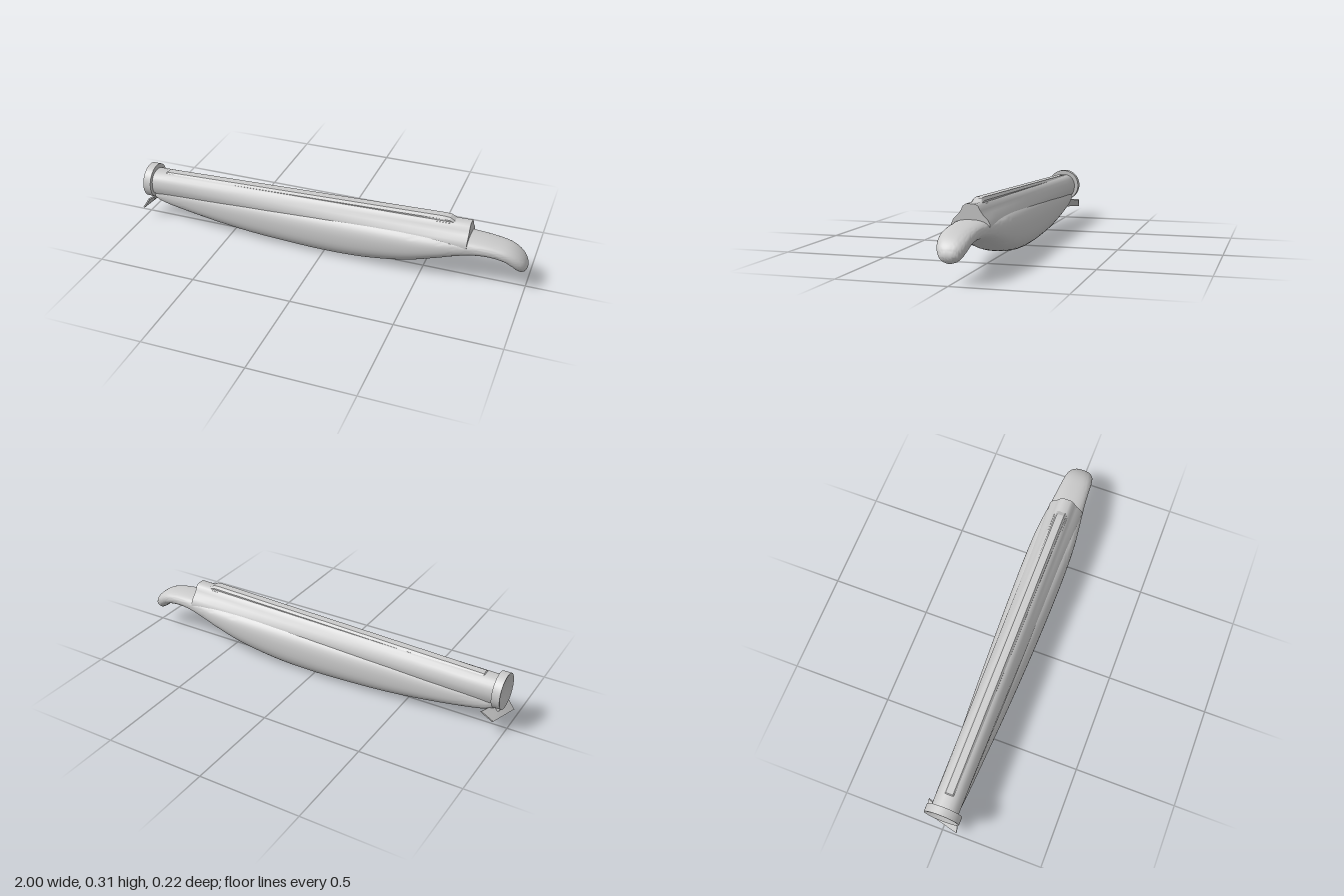
import * as THREE from 'three';
import { toCreasedNormals } from 'three/addons/utils/BufferGeometryUtils.js';

// Skin closed rings of [x, y, z] points, running from +z over the top to -z, with end caps
function loft(rings) {
  const n = rings[0].length, pos = rings.flat(2), idx = [];
  for (let i = 0; i < rings.length - 1; i++)
    for (let j = 0; j < n; j++) {
      const a = i * n + j, c = i * n + (j + 1) % n;
      idx.push(a, a + n, c + n, a, c + n, c);
    }
  [[0, false], [rings.length - 1, true]].forEach(([r, end]) => {
    const ring = rings[r], base = pos.length / 3;
    const mid = [0, 1, 2].map(k => ring.reduce((s, p) => s + p[k], 0) / n);
    pos.push(...ring.flat(), ...mid);
    for (let j = 0; j < n; j++) {
      const a = base + j, b = base + (j + 1) % n;
      idx.push(base + n, end ? b : a, end ? a : b);
    }
  });
  const g = new THREE.BufferGeometry();
  g.setAttribute('position', new THREE.Float32BufferAttribute(pos, 3));
  g.setIndex(idx);
  g.computeVertexNormals();
  return g;
}

// Mirror a half profile of [z, y], listed bottom to top
const mirrored = half => [...half, ...half.slice().reverse().map(([z, y]) => [-z, y])];

export function createModel() {
  const model = new THREE.Group();
  const material = new THREE.MeshStandardMaterial({ color: 0xcccccc, side: THREE.DoubleSide });
  const add = (name, geometry) => {
    const mesh = new THREE.Mesh(geometry, material);
    mesh.name = name;
    model.add(mesh);
    return mesh;
  };

  // Belly and hooked tail: x, y of the centre, half height, half width
  const stations = [
    [-0.94, 0.137, 0.027, 0.045], [-0.9, 0.136, 0.042, 0.058], [-0.8, 0.13, 0.058, 0.066],
    [-0.6, 0.12, 0.08, 0.077], [-0.4, 0.116, 0.098, 0.088], [-0.2, 0.115, 0.107, 0.097],
    [0, 0.117, 0.113, 0.104], [0.2, 0.125, 0.112, 0.109], [0.4, 0.143, 0.098, 0.111],
    [0.55, 0.165, 0.074, 0.107], [0.66, 0.182, 0.054, 0.096], [0.75, 0.191, 0.042, 0.085],
    [0.83, 0.19, 0.037, 0.078], [0.9, 0.178, 0.037, 0.073], [0.945, 0.153, 0.036, 0.066],
    [0.97, 0.125, 0.031, 0.053], [0.98, 0.103, 0.02, 0.034], [0.984, 0.092, 0.002, 0.004]];
  const curve = f => new THREE.CatmullRomCurve3(stations.map(f), false, 'catmullrom', 0.5);
  const spine = curve(s => new THREE.Vector3(s[0], s[1], 0));
  const sizes = curve(s => new THREE.Vector3(s[2], s[3], 0));
  const squircle = v => Math.sign(v) * Math.pow(Math.abs(v), 2 / 2.4);
  const hull = [];
  for (let i = 0; i <= 85; i++) {
    const c = spine.getPoint(i / 85), d = spine.getTangent(i / 85), s = sizes.getPoint(i / 85);
    const ring = [];
    for (let j = 0; j < 48; j++) {
      const a = j / 48 * Math.PI * 2, h = s.x * squircle(Math.sin(a));
      ring.push([c.x - d.y * h, c.y + d.x * h, s.y * squircle(Math.cos(a))]);
    }
    hull.push(ring);
  }
  add('belly', toCreasedNormals(loft(hull), 1));

  // Upper cover, changing from a round tube to a bell shaped section
  const tubeEnd = mirrored([[0.054, 0.15], [0.063, 0.172], [0.067, 0.198], [0.063, 0.222],
    [0.053, 0.242], [0.038, 0.255], [0.018, 0.262]]);
  const bellEnd = mirrored([[0.088, 0.2], [0.087, 0.216], [0.077, 0.236], [0.056, 0.256],
    [0.044, 0.273], [0.034, 0.293], [0.02, 0.302]]);
  const cover = [];
  for (let i = 0; i <= 12; i++) {
    const t = i / 12;
    cover.push(tubeEnd.map(([z, y], j) => [-0.945 + 1.665 * t,
      y + (bellEnd[j][1] - y) * t, z + (bellEnd[j][0] - z) * t]));
  }
  add('upperCover', toCreasedNormals(loft(cover), 0.6));

  // Sloping bevelled rail along the top: x, top height above its base line
  const railRings = [[-0.885, 0.008], [-0.87, 0.022], [0.59, 0.03], [0.62, 0.027], [0.645, 0.012]].map(([x, h]) => {
    const y = 0.268 + (x + 0.87) * 0.0275 - 0.022;
    return mirrored([[0.027, y - 0.012], [0.027, y + h * 0.55], [0.018, y + h]])
      .map(([z, py]) => [x, py, z]);
  });
  add('topRail', toCreasedNormals(loft(railRings), 0.3));

  // Narrow ledge on each side of the rail
  for (const side of [-1, 1]) {
    const ledge = add(side > 0 ? 'frontLedge' : 'backLedge', new THREE.BoxGeometry(1.5, 0.012, 0.012));
    ledge.position.set(-0.125, 0.265, side * 0.028);
    ledge.rotation.z = 0.0275;
  }

  // Collar with a shallow dished end
  const profile = [[0, 0.04], [0.066, 0.04], [0.087, 0.04], [0.087, 0], [0.08, 0], [0.05, 0.014], [0, 0.02]];
  const collar = add('endCollar', toCreasedNormals(
    new THREE.LatheGeometry(profile.map(([r, y]) => new THREE.Vector2(r, y)), 48), 0.6));
  collar.rotation.z = -Math.PI / 2;
  collar.position.set(-0.978, 0.2, 0);

  // Thin slanted tab under the collar
  const tab = [[-1, 0.065, 0.075], [-0.965, 0.12, 0.07], [-0.905, 0.125, -0.1], [-0.962, 0.083, -0.09]];
  const shifted = tab.map(([x, y, z]) => [x + 0.006, y - 0.004, z]);
  add('slantedTab', toCreasedNormals(loft([tab, shifted]), 0.3));

  // Bracket joining the tab to the belly
  const bracket = add('tabBracket', new THREE.BoxGeometry(0.05, 0.03, 0.05));
  bracket.position.set(-0.945, 0.122, 0);
  bracket.rotation.z = 0.6;

  return model;
}
